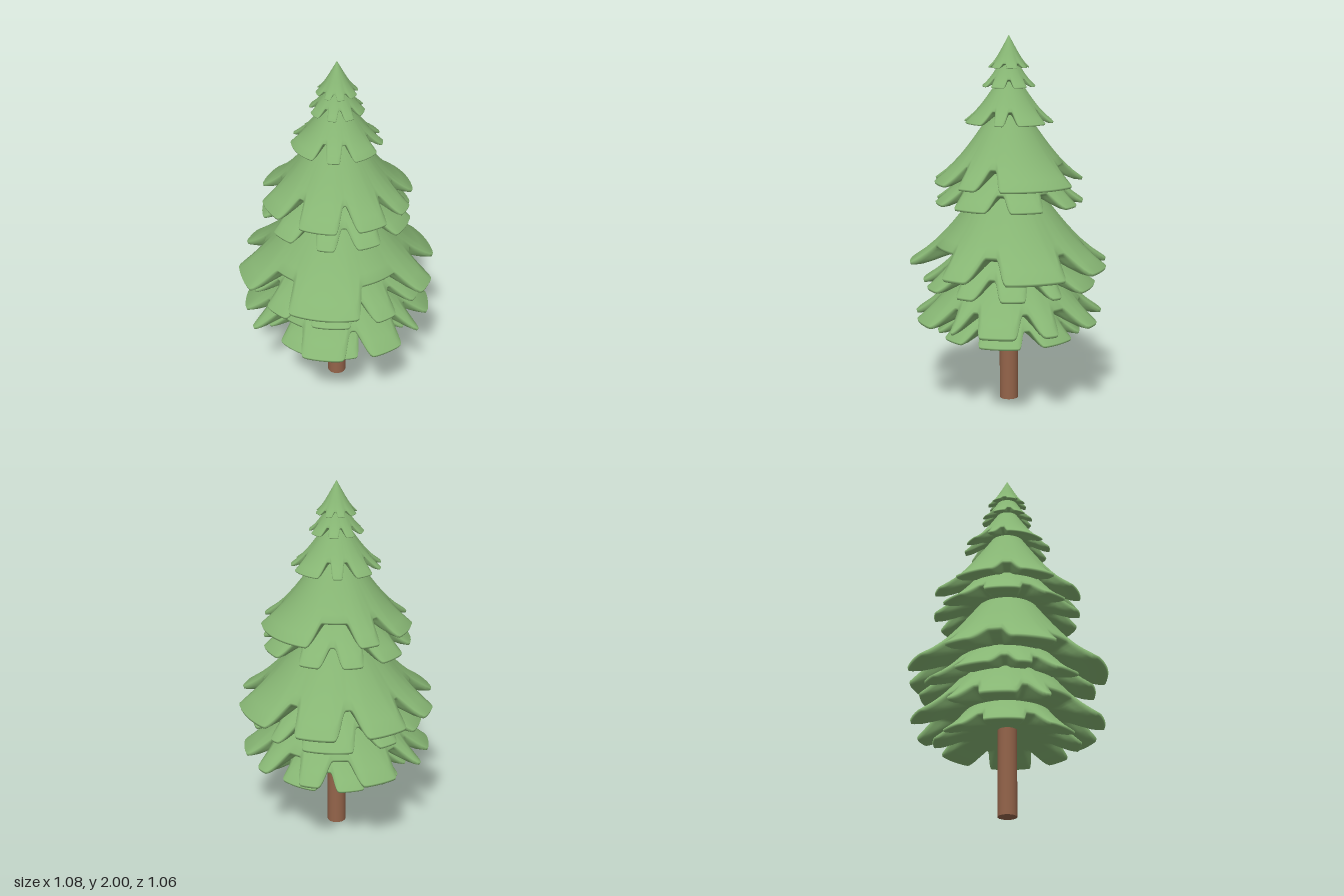
import * as THREE from 'three';

const GREEN = new THREE.MeshStandardMaterial({ color: 0x86b573 });
const BROWN = new THREE.MeshStandardMaterial({ color: 0x94644a });
const COLS = 300, TOP_ROWS = 12, UNDER_ROWS = 9;

// Notches as [centre, width] in degrees, measured from +x towards +z
const equalNotches = (centres, width) => centres.map((c) => [c, width]);

// Notches spread around the ring, with a gentle unevenness
function spreadNotches(count, start, width) {
  return Array.from({ length: count }, (_, i) => {
    const a = (i * 360) / count;
    return [start + a + 6 * Math.sin(THREE.MathUtils.degToRad(2 * a)), width + 3 * Math.sin(5 * i)];
  });
}

// 0 in a notch, 1 in the lobes between, with a soft step of the given half width
function lobeAmount(deg, notches, soft) {
  let amount = 1;
  for (const [centre, width] of notches) {
    const off = Math.abs(((deg - centre + 540) % 360) - 180);
    amount = Math.min(amount, THREE.MathUtils.smoothstep(off, width / 2 - soft, width / 2 + soft));
  }
  return amount;
}

// Ring grid made of rows of points; point(row, degrees) returns [radius, height]
function ringGrid(rows, point) {
  const pos = [], idx = [];
  for (let i = 0; i <= rows; i++) {
    for (let j = 0; j < COLS; j++) {
      const deg = (j / COLS) * 360, a = THREE.MathUtils.degToRad(deg);
      const [r, y] = point(i, deg);
      pos.push(r * Math.cos(a), y, r * Math.sin(a));
    }
  }
  for (let i = 0; i < rows; i++) {
    for (let j = 0; j < COLS; j++) {
      const a = i * COLS + j, b = i * COLS + ((j + 1) % COLS);
      idx.push(a, b, a + COLS, b, b + COLS, a + COLS);
    }
  }
  const g = new THREE.BufferGeometry();
  g.setAttribute('position', new THREE.Float32BufferAttribute(pos, 3));
  g.setIndex(idx);
  g.computeVertexNormals();
  return g;
}

// One foliage tier: rim height and radius, apex height, notch height, notches
function makeTier(name, y, r, apex, notchY, notches) {
  const uNotch = (apex - notchY) / (apex - y);
  const lip = 0.03 * r;
  const centreY = notchY + 0.4 * (notchY - y);

  // Flared skirt, trimmed higher at the notches and folded in softly above them
  const skirt = (t, deg) => {
    const u = t * THREE.MathUtils.lerp(uNotch, 1, lobeAmount(deg, notches, 4));
    const fold = 1 - 0.05 * u * u * (1 - lobeAmount(deg, notches, 7));
    return [r * (0.85 * u + 0.15 * u ** 6) * fold, apex - u * (apex - y)];
  };

  // Skirt, then a thin rounded lip, then a shallow hollow underside
  const mesh = new THREE.Mesh(ringGrid(TOP_ROWS + UNDER_ROWS, (row, deg) => {
    const [edgeR, edgeY] = skirt(1, deg);
    if (row <= TOP_ROWS) {
      const t = row / TOP_ROWS;
      const [topR, topY] = skirt(t, deg);
      return [topR, topY + lip * t * t];
    }
    const v = ((row - TOP_ROWS - 1) / (UNDER_ROWS - 1)) ** 1.6;
    const underR = (edgeR - lip / 3) * (1 - v);
    const hollowY = THREE.MathUtils.lerp(centreY, y, underR / r);
    return [underR, THREE.MathUtils.lerp(edgeY, hollowY, THREE.MathUtils.smoothstep(v, 0, 0.35))];
  }), GREEN);
  mesh.name = name;
  return mesh;
}

export function createModel() {
  const tree = new THREE.Group();
  tree.name = 'pineTree';

  // Trunk, running up into the lowest tier
  const trunk = new THREE.Mesh(new THREE.CylinderGeometry(0.051, 0.051, 0.6, 28), BROWN);
  trunk.name = 'trunk';
  trunk.position.y = 0.3;
  tree.add(trunk);

  // Lower tiers
  const lower = [
    ...equalNotches([6, 45, 64, 103, 190, 228], 11),
    [158, 34], [251, 16], [298, 20], [336, 18],
  ];
  const inner = equalNotches([33, 64, 98, 142, 179, 206, 248, 281, 333, 359], 12);
  const widest = [[32, 16], [81, 38], [160, 25], [213, 17], [249, 11], [292, 12], [335, 14]];
  tree.add(
    makeTier('lowestTier', 0.385, 0.39, 0.9, 0.455, spreadNotches(8, 0, 13)),
    makeTier('lowerTier', 0.475, 0.515, 1.1, 0.57, lower),
    makeTier('innerTier', 0.66, 0.47, 1.2, 0.745, inner),
    makeTier('widestTier', 0.765, 0.54, 1.4, 0.87, widest),
  );

  // Middle tiers
  const middle = [[35, 13], [68, 10], [108, 10], [155, 13], [204, 16], [257, 14], [303, 34]];
  tree.add(
    makeTier('middleInnerTier', 1.11, 0.4, 1.6, 1.185, spreadNotches(9, 27, 13)),
    makeTier('middleTier', 1.22, 0.405, 1.73, 1.315, middle),
  );

  // Small tiers up to the tip
  const upper = equalNotches([16, 47, 103, 138, 213, 240, 284, 315], 13);
  tree.add(
    makeTier('upperTier', 1.54, 0.24, 1.85, 1.605, upper),
    makeTier('smallTier', 1.73, 0.143, 1.94, 1.77, spreadNotches(8, 18, 15)),
    makeTier('tipTier', 1.83, 0.108, 2, 1.852, spreadNotches(8, 35, 16)),
  );
  return tree;
}
